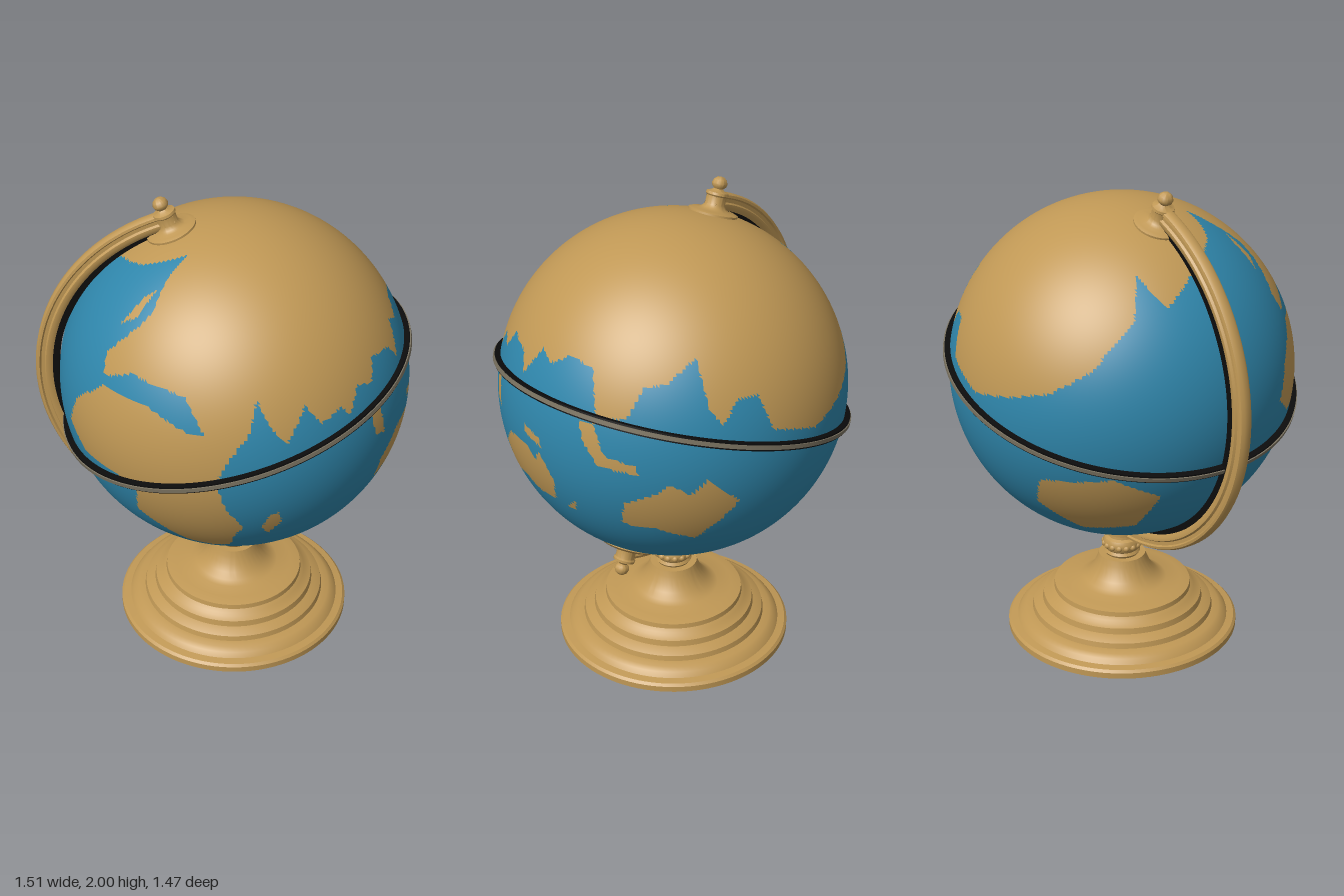
import * as THREE from 'three';
import { toCreasedNormals } from 'three/addons/utils/BufferGeometryUtils.js';

const DEG = Math.PI / 180;
const R = 0.705;                                   // globe radius
const CENTER = new THREE.Vector3(0.045, 1.205, 0); // globe centre

const mat = (name, color, side = THREE.FrontSide) => {
  const m = new THREE.MeshStandardMaterial({ color, side });
  m.name = name;
  return m;
};

// Land outlines as [azimuth from the front towards +x, latitude] in degrees
const mainland = [
  -85, 52, -66, 57, -42, 69, -42, 60, -38, 48, -41, 42, -50, 30, -47, 20, -59, 9, -64, -2,
  -55, -9, -39, -9, -31, -12, -34, -24, -25, -33, -18, -41, -7, -44, 0, -41, 2, -29, 5, -24,
  -1, -13, -4, -2, 0, 7, 6, 15, 9, 26, 13, 17, 18, 11, 25, 22, 30, 15, 38, 18,
  41, 14, 46, 22, 53, 20, 57, 27, 68, 25, 72, 19, 78, 30, 84, 27, 92, 32, 102, 30,
  106, 15, 116, 17, 121, 27, 128, 28, 139, 36, 142, 20, 146, 15, 152, 22, 159, 22, 163, 10,
  181, 4, 196, 7, 211, 11, 224, 19, 239, 35, 241, 50, 252, 38, 271, 50, 275, 52, 275, 91, -85, 91,
];
const islands = [
  // three southern continents
  [58, -12, 66, -4, 77, -3, 81, -7, 84, -3, 89, -12, 87, -21, 78, -22, 71, -19, 59, -22],
  [113, -22, 115, -13, 125, -8, 129, -4, 136, -8, 141, -3, 152, -13, 146, -21, 138, -30, 125, -24, 117, -24],
  [200, -33, 206, -20, 218, -19, 231, -17, 248, -25, 240, -43, 215, -48],
  // small islands
  [16, -16, 18, -22, 14, -29, 11, -24, 13, -18],
  [92, -22, 97, -17, 95, -23],
  [50, 10, 55, 11, 57, 0, 52, 2],
  [76, 4, 84, 2, 85, -1, 77, 1],
  [100, 13, 105, 14, 109, 4, 119, 2, 120, -1, 107, 0, 102, 7],
  [-47, 50, -43, 54, -44, 44, -50, 40],
];
const inlandSea = [-52, 23, -45, 24, -36, 28, -15, 26, -8, 15, -14, 15, -27, 20, -42, 20, -52, 20];

function inside(poly, x, y) {
  let hit = false;
  for (let i = 0, j = poly.length - 2; i < poly.length; j = i, i += 2) {
    const x1 = poly[i], y1 = poly[i + 1], x2 = poly[j], y2 = poly[j + 1];
    if ((y1 > y) !== (y2 > y) && x < ((x2 - x1) * (y - y1)) / (y2 - y1) + x1) hit = !hit;
  }
  return hit;
}

function isLand(x, y, z) {
  const lat = Math.asin(y / Math.hypot(x, y, z)) / DEG;
  let az = Math.atan2(x, z) / DEG;
  if (az < -85) az += 360;
  if (inside(inlandSea, az, lat)) return false;
  return inside(mainland, az, lat) || islands.some((p) => inside(p, az, lat));
}

// Fine sphere whose faces are sorted into a sea group and a land group
function globeGeometry() {
  const geo = new THREE.SphereGeometry(R, 320, 160);
  const p = geo.attributes.position, idx = geo.index.array;
  const sea = [], land = [];
  for (let i = 0; i < idx.length; i += 3) {
    const t = [idx[i], idx[i + 1], idx[i + 2]];
    const sum = (get) => t.reduce((s, k) => s + get(k), 0);
    const ok = isLand(sum((k) => p.getX(k)), sum((k) => p.getY(k)), sum((k) => p.getZ(k)));
    (ok ? land : sea).push(...t);
  }
  geo.setIndex(sea.concat(land));
  geo.addGroup(0, sea.length, 0);
  geo.addGroup(sea.length, land.length, 1);
  return geo;
}

function lathe(points, segments = 64, start = 0, length = Math.PI * 2) {
  const pts = points.map(([r, y]) => new THREE.Vector2(r, y));
  return toCreasedNormals(new THREE.LatheGeometry(pts, segments, start, length), 35 * DEG);
}

export function createModel() {
  const model = new THREE.Group();
  model.name = 'deskGlobe';
  const brass = mat('brass', 0xc09855, THREE.DoubleSide);
  const landTan = mat('landTan', 0xc09855);
  const seaBlue = mat('seaBlue', 0x2f86ab);
  const black = mat('black', 0x0c0c0c, THREE.DoubleSide);
  const grey = mat('warmGrey', 0x7a7260, THREE.DoubleSide);

  const add = (name, geo, material, x, y, z = 0) => {
    const m = new THREE.Mesh(geo, material);
    m.name = name;
    m.position.set(x, y, z);
    model.add(m);
    return m;
  };

  add('globe', globeGeometry(), [seaBlue, landTan], CENTER.x, CENTER.y);

  // Tilted band around the middle: black strip with a grey rim
  const band = (r, h) => lathe([[0.69, -h], [r, -h], [r, h], [0.69, h]], 128);
  add('equatorBand', band(0.728, 0.015), black, CENTER.x, 1.2).rotation.z = 16.6 * DEG;
  add('equatorRim', band(0.733, 0.008), grey, CENTER.x, 1.2).rotation.z = 16.6 * DEG;

  // Half-round arm, moulded along its length, with a dark lining
  const arc = (half) => {
    const lower = half.map(([r, w]) => [r, -w]);
    const loop = [...lower, ...half.slice().reverse(), lower[0]];
    return lathe(loop, 96, -164 * DEG, 191 * DEG).rotateX(Math.PI / 2);
  };
  add('arm', arc([[0.71, 0.018], [0.725, 0.028], [0.738, 0.028], [0.744, 0.019],
    [0.758, 0.019], [0.764, 0.026], [0.774, 0.024], [0.781, 0.012]]), brass, 0.02, 1.2);
  add('armLining', arc([[0.685, 0.02], [0.711, 0.02]]), black, 0.02, 1.2);

  // Pivots: flange on the globe, post and ball knob
  const pivot = (name, angle, flange) => {
    const drop = R - Math.sqrt(R * R - flange * flange);
    const geo = lathe([[flange, R - drop - 0.01], [flange, R - drop + 0.008], [flange * 0.85, 0.712],
      [flange * 0.6, 0.714], [0.048, 0.722], [0.04, 0.735], [0.04, 0.768], [0.046, 0.774],
      [0.044, 0.784], [0.026, 0.79], [0.018, 0.797], [0.028, 0.807], [0.031, 0.818],
      [0.026, 0.833], [0.014, 0.843], [0, 0.846]], 40);
    add(name, geo, brass, CENTER.x, CENTER.y).rotation.z = angle * DEG;
  };
  pivot('topPivot', 20.4, 0.1);
  pivot('bottomPivot', 203.8, 0.135);

  // Hollow stepped foot
  add('base', lathe([[0.495, 0], [0.495, 0.025], [0.485, 0.035], [0.455, 0.04], [0.44, 0.06],
    [0.42, 0.072], [0.39, 0.078], [0.385, 0.1], [0.365, 0.112], [0.345, 0.12], [0.34, 0.145],
    [0.32, 0.155], [0.31, 0.165], [0.295, 0.175], [0.292, 0.195], [0.25, 0.205], [0.19, 0.21],
    [0.165, 0.222], [0.14, 0.245], [0.12, 0.275], [0.107, 0.305], [0.1, 0.33], [0, 0.33]], 96),
  brass, CENTER.x, 0);

  // Turned neck between foot and arm
  add('neck', lathe([[0.07, 0.328], [0.077, 0.34], [0.07, 0.352], [0.08, 0.365], [0.082, 0.39],
    [0.074, 0.405], [0.06, 0.412], [0.058, 0.425], [0.075, 0.432], [0.075, 0.445],
    [0.062, 0.455], [0.06, 0.495], [0, 0.495]], 48), brass, CENTER.x, 0);

  // Beads round the neck
  const bead = new THREE.SphereGeometry(0.014, 10, 8);
  for (let i = 0; i < 16; i++) {
    const a = (i / 16) * Math.PI * 2;
    add('neckBead', bead, brass, CENTER.x + 0.076 * Math.cos(a), 0.378, 0.076 * Math.sin(a));
  }
  return model;
}
